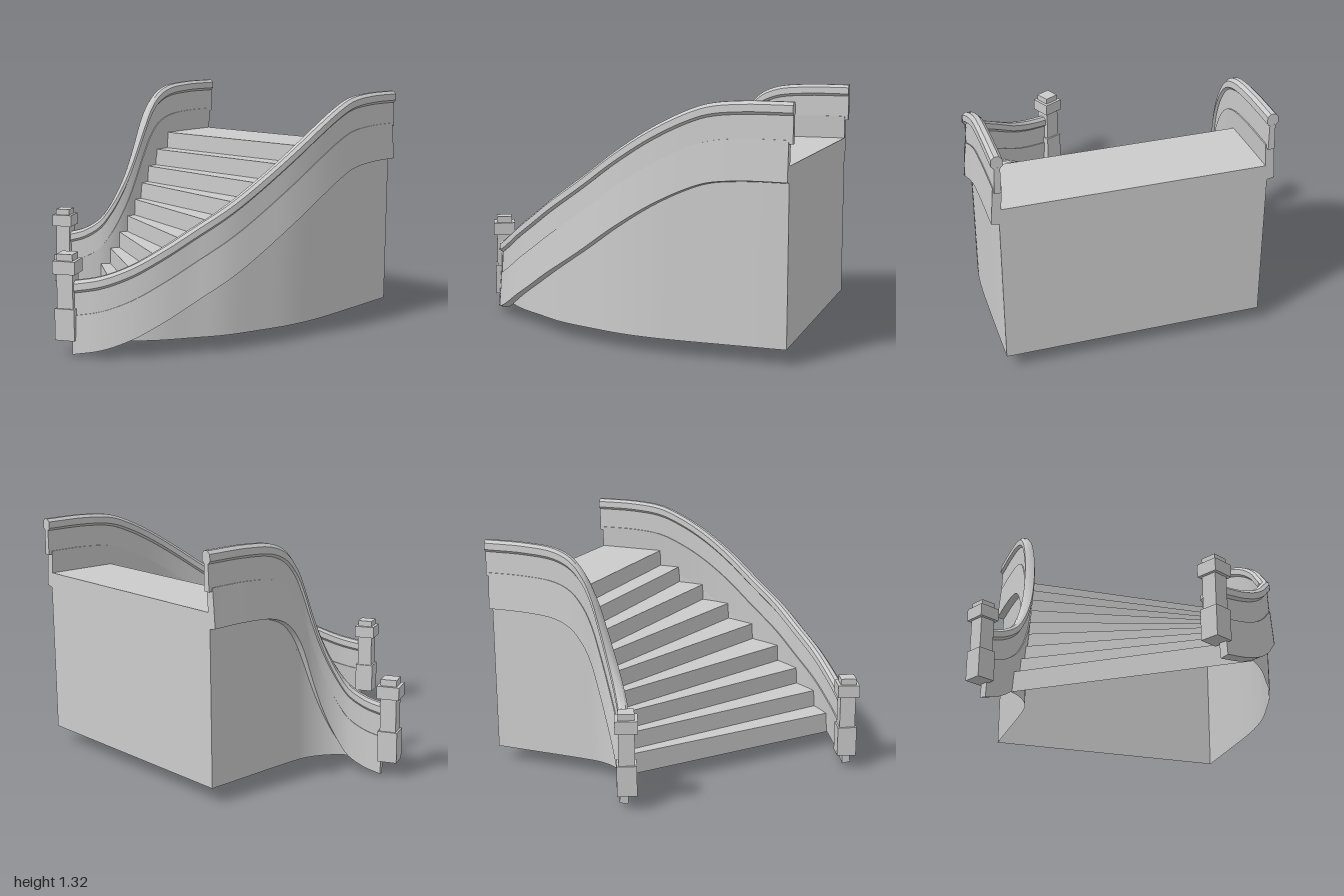
import * as THREE from 'three';
import { toCreasedNormals } from 'three/addons/utils/BufferGeometryUtils.js';

const BASE = 0.085, BACK = -0.98, SAMPLES = 60;

// Handrail height at each plan point; points 2 to 10 line up with the nine risers
const HEIGHTS = [0.40, 0.43, 0.49, 0.57, 0.67, 0.78, 0.915, 1.05, 1.17, 1.255, 1.3, 1.318, 1.318];
const LEFT_PLAN = [[0.2, 0.9], [0.33, 0.825], [0.45, 0.725], [0.545, 0.615], [0.635, 0.47], [0.73, 0.31],
  [0.8, 0.11], [0.855, -0.08], [0.882, -0.27], [0.887, -0.44], [0.886, -0.57], [0.884, -0.75], [0.88, -1]];
const RIGHT_PLAN = [[-0.815, -0.01], [-0.73, -0.055], [-0.65, -0.105], [-0.605, -0.145], [-0.57, -0.19], [-0.545, -0.235],
  [-0.527, -0.285], [-0.517, -0.335], [-0.515, -0.395], [-0.515, -0.47], [-0.517, -0.57], [-0.523, -0.75], [-0.53, -1]];

// Cross-sections: [outward offset, height relative to the handrail top], counter-clockwise
const HANDRAIL = [[-0.016, -0.066], [0.016, -0.066], [0.03, -0.052], [0.028, -0.016], [0.012, 0], [-0.012, 0], [-0.028, -0.016], [-0.03, -0.052]];
const PANEL = [[-0.015, -0.205], [0.02, -0.205], [0.015, -0.06], [-0.015, -0.06]];
const STRINGER = [[-0.006, -0.4], [0.04, -0.39], [0.024, -0.185], [-0.022, -0.185]];

const material = new THREE.MeshStandardMaterial({ color: 0xcccccc });
const thin = new THREE.MeshStandardMaterial({ color: 0xcccccc, side: THREE.DoubleSide });

function meshFrom(name, positions, mat, crease) {
  const geo = new THREE.BufferGeometry();
  geo.setAttribute('position', new THREE.Float32BufferAttribute(positions, 3));
  geo.computeVertexNormals();
  const mesh = new THREE.Mesh(crease ? toCreasedNormals(geo, crease) : geo, mat);
  mesh.name = name;
  return mesh;
}

function quad(out, a, b, c, d) {
  for (const p of [a, b, c, a, c, d]) out.push(...p);
}

const railCurve = plan => new THREE.CatmullRomCurve3(
  plan.map(([x, z], i) => new THREE.Vector3(x, HEIGHTS[i], z)));

// Sweep an upright cross-section along the rail curve, closing both ends
function sweep(name, curve, profile, side, backZ) {
  const section = profile.map(([n, y]) => [n * side, y]);
  if (side < 0) section.reverse();
  const rings = [];
  for (let i = 0; i <= SAMPLES; i++) {
    const p = curve.getPoint(i / SAMPLES), t = curve.getTangent(i / SAMPLES);
    const len = Math.hypot(t.x, t.z);
    rings.push(section.map(([n, y]) =>
      [p.x - n * t.z / len, p.y + y, Math.max(p.z + n * t.x / len, backZ)]));
  }
  const out = [], m = section.length;
  for (let i = 0; i < SAMPLES; i++) {
    for (let j = 0; j < m; j++) {
      const k = (j + 1) % m;
      quad(out, rings[i][j], rings[i + 1][j], rings[i + 1][k], rings[i][k]);
    }
  }
  const first = rings[0], last = rings[SAMPLES];
  for (let j = 1; j < m - 1; j++) {
    out.push(...first[0], ...first[j], ...first[j + 1]);
    out.push(...last[0], ...last[j + 1], ...last[j]);
  }
  return meshFrom(name, out, material, 0.45);
}

// Curved side wall from the floor up into the stringer
function sideWall(name, curve) {
  const out = [], start = 2 / 12;
  const column = i => {
    const p = curve.getPoint(start + (1 - start) * i / SAMPLES);
    const z = Math.max(p.z, BACK);
    return [[p.x, BASE, z], [p.x, p.y - 0.31, z]];
  };
  for (let i = 0; i < SAMPLES; i++) {
    const [a, b] = column(i), [c, d] = column(i + 1);
    quad(out, a, c, d, b);
  }
  return meshFrom(name, out, thin, 0.5);
}

// Winding risers and treads, the landing and the back panel; open underneath
function steps() {
  const group = new THREE.Group();
  group.name = 'steps';
  const at = ([x, z], y) => [x, y, z];
  for (let k = 0; k < 9; k++) {
    const low = k ? 0.105 + 0.1 * k : BASE, high = 0.205 + 0.1 * k;
    const r = RIGHT_PLAN[k + 2], l = LEFT_PLAN[k + 2];
    const r2 = k < 8 ? RIGHT_PLAN[k + 3] : [-0.53, BACK];
    const l2 = k < 8 ? LEFT_PLAN[k + 3] : [0.88, BACK];
    const riser = [], tread = [];
    quad(riser, at(r, low), at(l, low), at(l, high), at(r, high));
    quad(tread, at(r, high), at(l, high), at(l2, high), at(r2, high));
    group.add(meshFrom('riser', riser, thin), meshFrom(k < 8 ? 'tread' : 'landing', tread, thin));
  }
  const back = [];
  quad(back, [0.88, BASE, BACK], [-0.53, BASE, BACK], [-0.53, 1.005, BACK], [0.88, 1.005, BACK]);
  group.add(meshFrom('backPanel', back, thin));
  return group;
}

// Square newel post: base, shaft, cap, top block as [width, bottom, top]
function newel(name, x, z) {
  const group = new THREE.Group();
  group.name = name;
  for (const [part, w, y0, y1] of [['base', 0.108, BASE, 0.255], ['shaft', 0.088, 0.255, 0.44],
    ['cap', 0.123, 0.44, 0.51], ['topBlock', 0.088, 0.51, 0.545]]) {
    const mesh = new THREE.Mesh(new THREE.BoxGeometry(w, y1 - y0, w), material);
    mesh.name = part;
    mesh.position.y = (y0 + y1) / 2;
    group.add(mesh);
  }
  group.position.set(x, 0, z);
  group.rotation.y = THREE.MathUtils.degToRad(27);
  return group;
}

export function createModel() {
  const model = new THREE.Group();
  model.name = 'curvedStaircase';
  model.add(steps());
  for (const [label, plan, side] of [['left', LEFT_PLAN, 1], ['right', RIGHT_PLAN, -1]]) {
    const curve = railCurve(plan);
    model.add(
      sweep(label + 'Handrail', curve, HANDRAIL, side, -1),
      sweep(label + 'Panel', curve, PANEL, side, -1),
      sweep(label + 'Stringer', curve, STRINGER, side, BACK),
      sideWall(label + 'Wall', curve));
  }
  model.add(newel('leftNewel', 0.168, 0.915), newel('rightNewel', -0.85, 0.008));
  return model;
}
